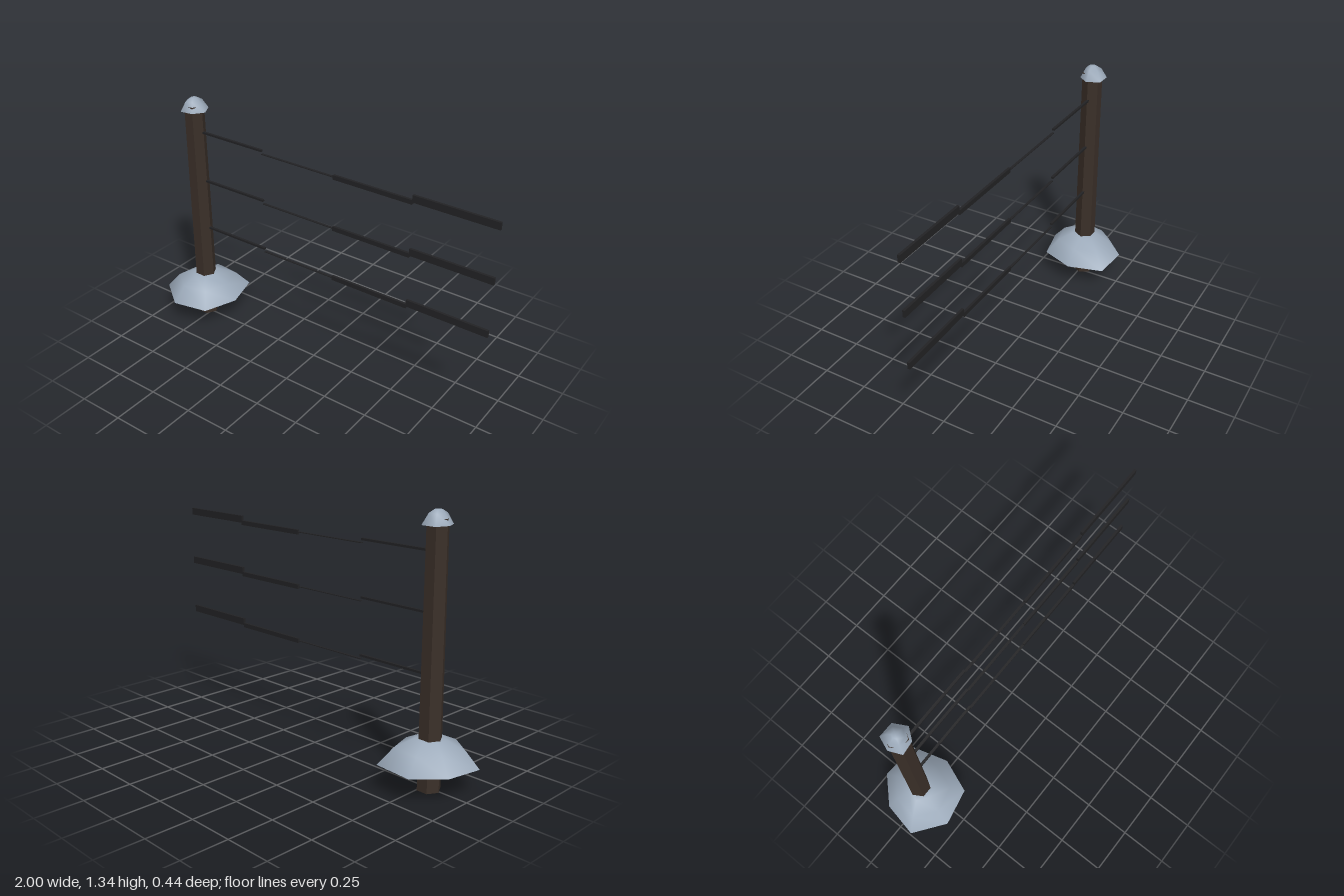
import * as THREE from 'three';
import { mergeVertices } from 'three/addons/utils/BufferGeometryUtils.js';

const AXIS_X = -0.785, AXIS_Z = -0.01;

// Lathed shell whose sides each have their own radius factor, for an uneven hand-cut rim
function unevenShell(profile, factors) {
  const n = factors.length;
  let geo = new THREE.LatheGeometry(profile.map(([r, y]) => new THREE.Vector2(r, y)), n, Math.PI / 2);
  const p = geo.attributes.position;
  for (let i = 0; i < p.count; i++) {
    const x = p.getX(i), z = p.getZ(i);
    const side = Math.round(Math.atan2(z, x) / (Math.PI * 2 / n) + n) % n;
    p.setXYZ(i, x * factors[side], p.getY(i), z * factors[side]);
  }
  geo.deleteAttribute('uv');
  geo.deleteAttribute('normal');
  geo = mergeVertices(geo, 1e-5);
  geo.computeVertexNormals();
  return geo;
}

export function createModel() {
  const model = new THREE.Group();
  model.name = 'fencePost';
  const wood = new THREE.MeshStandardMaterial({ color: 0x3a2f28, flatShading: true });
  const snow = new THREE.MeshStandardMaterial({ color: 0x9caaba, side: THREE.DoubleSide });
  const wire = new THREE.MeshStandardMaterial({ color: 0x222224 });

  const add = (name, geo, mat, x, y, z) => {
    const mesh = new THREE.Mesh(geo, mat);
    mesh.name = name;
    mesh.position.set(x, y, z);
    model.add(mesh);
    return mesh;
  };

  // Tapered hexagonal post, corners facing left and right
  const postHeight = 1.295;
  const postGeo = new THREE.CylinderGeometry(0.054, 0.06, postHeight, 6).rotateY(Math.PI / 2);
  add('post', postGeo, wood, AXIS_X, postHeight / 2, AXIS_Z);

  // Open mound around the foot
  const mound = [[0.226, 0.135], [0.155, 0.22], [0.075, 0.26], [0.045, 0.262]];
  add('mound', unevenShell(mound, [0.95, 1.035, 1.02, 1.05, 0.87, 0.97, 1.12]), snow, AXIS_X, 0, AXIS_Z);

  // Small cap on top of the post
  const cap = [[0.073, 1.266], [0.043, 1.318], [0.018, 1.334], [0, 1.336]];
  add('cap', unevenShell(cap, [1.03, 0.89, 1.03, 0.9, 1.08, 1.07]), snow, AXIS_X, 0, AXIS_Z);

  // Three wires, each made of stepped segments: [start x, end x, y offset, thickness]
  const segments = [
    [-0.78, -0.335, 0, 0.011],
    [-0.335, 0.11, -0.018, 0.004],
    [0.11, 0.555, -0.019, 0.024],
    [0.555, 1, 0, 0.038],
  ];
  for (const y of [0.568, 0.861, 1.147]) {
    for (const [x0, x1, dy, h] of segments) {
      add('wireSegment', new THREE.BoxGeometry(x1 - x0, h, 0.013), wire, (x0 + x1) / 2, y + dy, -0.012);
    }
  }
  return model;
}
